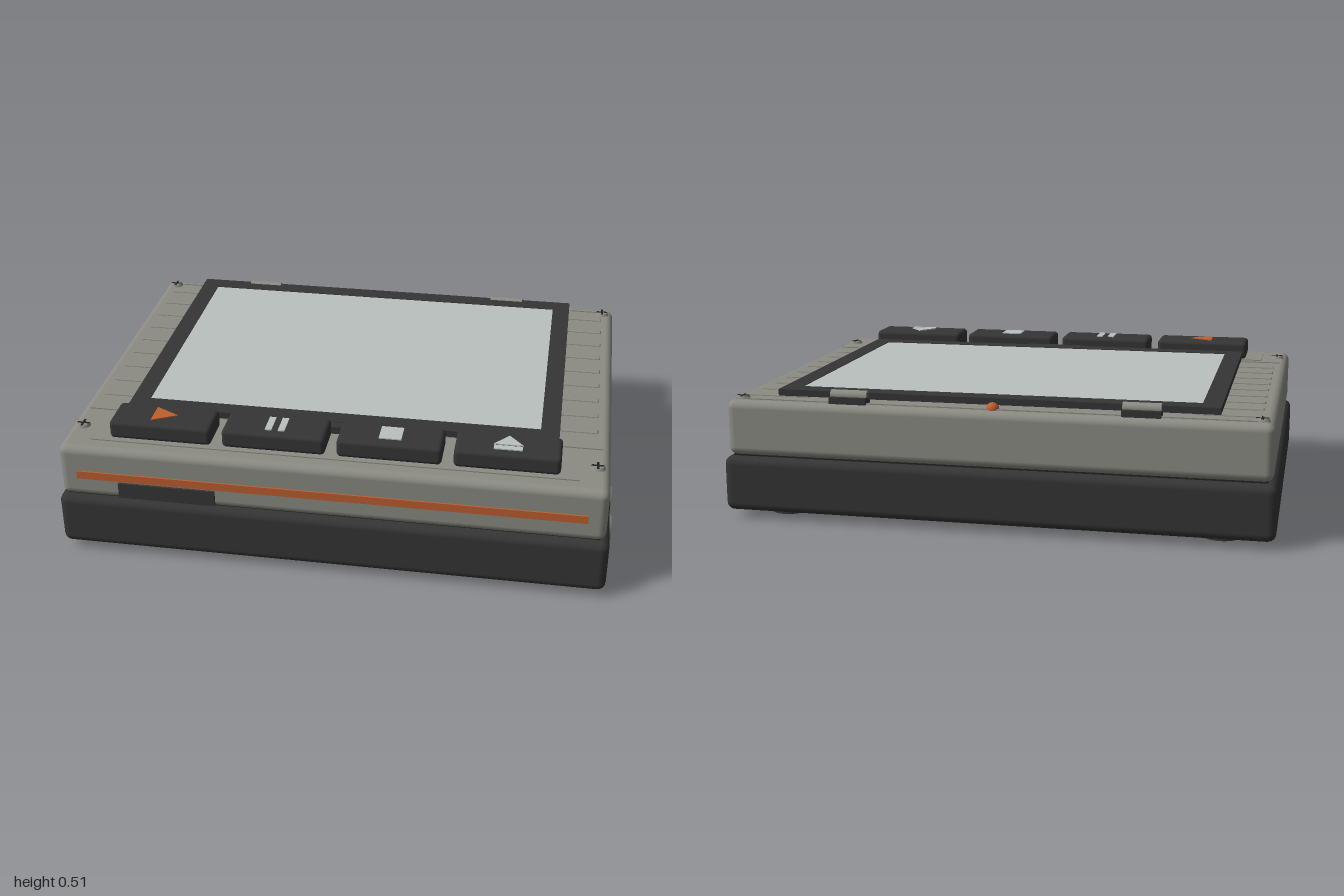
import * as THREE from 'three';
import { RoundedBoxGeometry } from 'three/addons/geometries/RoundedBoxGeometry.js';

const mat = (name, color) => {
  const m = new THREE.MeshStandardMaterial({ color });
  m.name = name;
  return m;
};

export function createModel() {
  const model = new THREE.Group();
  model.name = 'tabletopPlayer';
  const grey = mat('warmGrey', 0x8c8c84);
  const dark = mat('charcoal', 0x353536);
  const black = mat('black', 0x232324);
  const orange = mat('orange', 0xbd5f30);
  const pale = mat('paleGlass', 0xbac1be);

  // All parts share one centre line, set slightly left of x = 0 to balance the sockets.
  const body = new THREE.Group();
  body.name = 'body';
  body.position.x = -0.005;
  model.add(body);

  const add = (name, geometry, material, x, y, z, parent = body) => {
    const mesh = new THREE.Mesh(geometry, material);
    mesh.name = name;
    mesh.position.set(x, y, z);
    parent.add(mesh);
    return mesh;
  };
  // Boxes given by their limits on each axis
  const box = (name, material, [x0, x1], [y0, y1], [z0, z1], radius = 0, parent = body) => {
    const size = [x1 - x0, y1 - y0, z1 - z0];
    const geometry = radius
      ? new RoundedBoxGeometry(...size, 3, radius)
      : new THREE.BoxGeometry(...size);
    return add(name, geometry, material, (x0 + x1) / 2, (y0 + y1) / 2, (z0 + z1) / 2, parent);
  };

  // Lower case, seam and upper case
  box('lowerCase', dark, [-0.993, 0.993], [0.028, 0.23], [-0.742, 0.742], 0.03);
  box('seam', black, [-0.96, 0.96], [0.215, 0.25], [-0.71, 0.71]);
  box('upperCase', grey, [-0.978, 0.978], [0.234, 0.437], [-0.73, 0.733], 0.03);

  // Round feet
  for (const x of [-0.8, 0.8]) for (const z of [-0.58, 0.585])
    add('foot', new THREE.CylinderGeometry(0.073, 0.073, 0.034, 28), dark, x, 0.017, z);

  // Front stripe and slot cover
  box('frontStripe', orange, [-0.912, 0.912], [0.311, 0.341], [0.72, 0.739]);
  box('frontSlot', dark, [-0.76, -0.405], [0.246, 0.305], [0.72, 0.742]);

  // Ribs on both sides of the deck
  for (const side of [-1, 1]) for (let i = 0; i < 9; i++) {
    const z = -0.613 + i * 0.1175;
    const rib = side < 0 ? [-0.93, -0.7] : [0.7, 0.93];
    box('deckRib', grey, rib, [0.43, 0.443], [z - 0.013, z + 0.013], 0.005);
  }
  for (const z of [-0.69, 0.445])
    box('deckLine', grey, [-0.95, 0.95], [0.43, 0.441], [z - 0.006, z + 0.006]);

  // Corner screws with cross slots
  for (const x of [-0.932, 0.932]) for (const z of [-0.674, 0.573]) {
    const screw = new THREE.Group();
    screw.name = 'screw';
    screw.position.set(x, 0.437, z);
    body.add(screw);
    add('screwHead', new THREE.CylinderGeometry(0.022, 0.028, 0.012, 20), grey, 0, 0.004, 0, screw);
    box('screwSlot', black, [-0.022, 0.022], [0.006, 0.0115], [-0.004, 0.004], 0, screw);
    box('screwSlot', black, [-0.004, 0.004], [0.006, 0.0115], [-0.022, 0.022], 0, screw);
  }

  // Raised panel carrying the four keys
  box('keyPanel', grey, [-0.872, 0.872], [0.425, 0.441], [0.482, 0.67]);
  const keyXs = [-0.62, -0.207, 0.207, 0.62];
  for (const x of keyXs)
    box('key', dark, [x - 0.186, x + 0.186], [0.438, 0.508], [0.5, 0.652], 0.016);

  // Key symbols: flat plates on top of the keys
  const iconY = [0.505, 0.512];
  const triangle = (name, material, points) => {
    const shape = new THREE.Shape(points.map(([x, z]) => new THREE.Vector2(x, -z)));
    const geometry = new THREE.ExtrudeGeometry(shape, { depth: 0.007, bevelEnabled: false });
    geometry.rotateX(-Math.PI / 2);
    add(name, geometry, material, 0, iconY[0], 0);
  };
  triangle('playSymbol', orange, [[-0.658, 0.528], [-0.658, 0.622], [-0.57, 0.575]]);
  for (const x of [-0.228, -0.181])
    box('pauseBar', pale, [x - 0.012, x + 0.012], iconY, [0.532, 0.622]);
  box('stopSymbol', pale, [0.167, 0.247], iconY, [0.534, 0.616]);
  triangle('ejectArrow', pale, [[0.568, 0.59], [0.672, 0.59], [0.62, 0.528]]);
  box('ejectBar', pale, [0.57, 0.67], iconY, [0.598, 0.622]);

  // Lid: frame with a window opening, glass and front tab
  const frame = new THREE.Shape([[-0.793, -0.47], [0.793, -0.47], [0.793, 0.678], [-0.793, 0.678]]
    .map(p => new THREE.Vector2(...p)));
  frame.holes.push(new THREE.Path([[-0.725, -0.405], [-0.725, 0.607], [0.725, 0.607], [0.725, -0.405]]
    .map(p => new THREE.Vector2(...p))));
  const frameGeometry = new THREE.ExtrudeGeometry(frame, { depth: 0.024, bevelEnabled: false });
  frameGeometry.rotateX(-Math.PI / 2);
  add('lidFrame', frameGeometry, dark, 0, 0.452, 0);
  box('lidGlass', pale, [-0.726, 0.726], [0.455, 0.474], [-0.608, 0.406]);
  box('lidTab', dark, [-0.124, 0.124], [0.446, 0.474], [0.46, 0.505]);

  // Hinges at the back of the lid
  for (const x of [-0.525, 0.525]) {
    box('hingeBase', dark, [x - 0.068, x + 0.068], [0.432, 0.46], [-0.708, -0.655]);
    const barrel = add('hingeBarrel', new THREE.CylinderGeometry(0.02, 0.02, 0.134, 20), grey, x, 0.463, -0.675);
    barrel.rotation.z = Math.PI / 2;
  }

  // Indicator lamp
  add('indicatorLamp', new THREE.SphereGeometry(0.024, 20, 12), orange, 0, 0.438, -0.68);

  // Sockets on the model's left side
  for (const [z, r] of [[0.47, 0.047], [0.265, 0.04]]) {
    const inner = r * 0.62;
    const profile = [[inner, 0], [r, 0], [r, 0.018], [inner, 0.018], [inner, 0]]
      .map(p => new THREE.Vector2(...p));
    const ring = add('socketRing', new THREE.LatheGeometry(profile, 32), grey, 0.986, 0.127, z);
    ring.rotation.z = -Math.PI / 2;
    const hole = add('socketHole', new THREE.CircleGeometry(inner, 28), black, 0.9945, 0.127, z);
    hole.rotation.y = Math.PI / 2;
  }
  return model;
}
